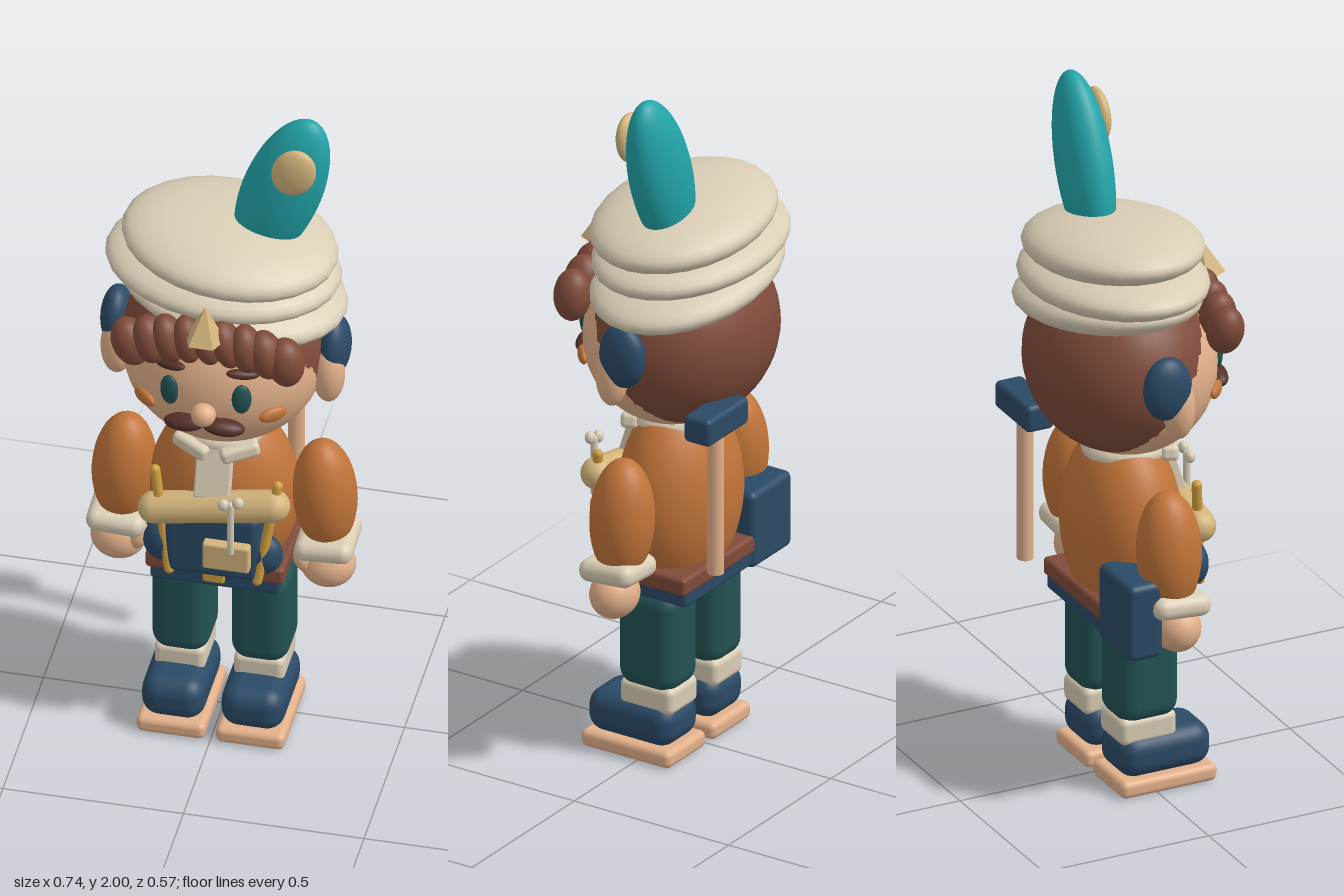
import * as THREE from 'three';
import { RoundedBoxGeometry } from 'three/addons/geometries/RoundedBoxGeometry.js';

const paint = (name, color) => {
  const m = new THREE.MeshStandardMaterial({ color });
  m.name = name;
  return m;
};

export function createModel() {
  const model = new THREE.Group();
  model.name = 'traveller';
  const navy = paint('navy', 0x2b4a66), brown = paint('hair brown', 0x7f4b3a);
  const dark = paint('dark brown', 0x55302a), cream = paint('cream', 0xd9cdb5);
  const orange = paint('coat orange', 0xc17439), skin = paint('skin', 0xe2b08a);
  const teal = paint('feather teal', 0x22a5aa), pine = paint('dark teal', 0x235253);
  const tan = paint('tan', 0xd3b47c), gold = paint('gold', 0xcf9f3f);

  const add = (name, geo, mat, pos, rot = [0, 0, 0]) => {
    const mesh = new THREE.Mesh(geo, mat);
    mesh.name = name;
    mesh.position.set(...pos);
    mesh.rotation.set(...rot);
    model.add(mesh);
    return mesh;
  };
  const ball = (name, mat, pos, r, rot, seg = 28) =>
    add(name, new THREE.SphereGeometry(1, seg, Math.round(seg * 0.7)).scale(...r), mat, pos, rot);
  const box = (name, mat, pos, size, radius, rot) =>
    add(name, new RoundedBoxGeometry(...size, 4, radius), mat, pos, rot);
  // Round bar between two points
  const rod = (name, mat, a, b, r) => {
    const from = new THREE.Vector3(...a), to = new THREE.Vector3(...b);
    const dir = to.clone().sub(from);
    const mesh = add(name, new THREE.CapsuleGeometry(r, Math.max(dir.length() - 2 * r, 0.001), 6, 14),
      mat, from.clone().add(to).multiplyScalar(0.5).toArray());
    mesh.quaternion.setFromUnitVectors(new THREE.Vector3(0, 1, 0), dir.normalize());
    return mesh;
  };

  for (const s of [-1, 1]) {
    // Legs and shoes
    box('sole', skin, [s * 0.11, 0.03, 0.035], [0.19, 0.05, 0.29], 0.018);
    box('shoe', navy, [s * 0.11, 0.112, 0.037], [0.175, 0.125, 0.275], 0.05);
    box('sock', cream, [s * 0.11, 0.19, -0.015], [0.14, 0.08, 0.17], 0.02);
    box('trouserLeg', pine, [s * 0.11, 0.36, -0.012], [0.16, 0.3, 0.185], 0.05);

    // Arms
    ball('sleeve', orange, [s * 0.278, 0.765, -0.008], [0.088, 0.175, 0.09], [0, 0, s * 0.06]);
    box('cuff', cream, [s * 0.288, 0.62, 0], [0.162, 0.064, 0.17], 0.03, [0.08, 0, s * 0.06]);
    ball('hand', skin, [s * 0.29, 0.543, 0.008], [0.077, 0.07, 0.066]);
    ball('thumb', skin, [s * 0.228, 0.567, 0.035], [0.027, 0.042, 0.03], [0, 0, s * 0.3]);

    // Ears and ear muffs
    ball('ear', skin, [s * 0.293, 1.195, 0.015], [0.045, 0.09, 0.045]);
    ball('earMuff', navy, [s * 0.302, 1.265, -0.025], [0.044, 0.092, 0.07]);

    // Face details
    ball('eye', pine, [s * 0.1, 1.235, 0.228], [0.027, 0.047, 0.016], [0, s * 0.3, 0]);
    ball('eyebrow', dark, [s * 0.1, 1.31, 0.214], [0.046, 0.014, 0.017], [0, s * 0.35, -s * 0.15]);
    ball('cheek', orange, [s * 0.178, 1.165, 0.186], [0.042, 0.022, 0.014], [0, s * 0.7, 0]);
    ball('moustache', dark, [s * 0.055, 1.147, 0.248], [0.058, 0.023, 0.03], [0, s * 0.15, -s * 0.12]);
    box('collarFlap', cream, [s * 0.065, 0.957, 0.1], [0.11, 0.045, 0.05], 0.015, [0, s * 0.4, s * 0.2]);
  }

  // Body
  ball('coat', orange, [0, 0.742, -0.012], [0.207, 0.285, 0.156], undefined, 36);
  box('hips', navy, [0, 0.52, -0.015], [0.36, 0.06, 0.265], 0.012);
  box('belt', brown, [0, 0.555, -0.015], [0.385, 0.052, 0.275], 0.012);
  box('buckle', gold, [0, 0.545, 0.124], [0.06, 0.058, 0.02], 0.006);
  add('collar', new THREE.TorusGeometry(0.09, 0.03, 12, 32), cream, [0, 0.965, 0], [Math.PI / 2, 0, 0]);
  box('shirtFront', cream, [0, 0.89, 0.125], [0.1, 0.15, 0.03], 0.006, [-0.3, 0, 0]);

  // Head and hair
  ball('face', skin, [0, 1.22, 0], [0.276, 0.256, 0.245], undefined, 40);
  ball('hair', brown, [0, 1.24, -0.025], [0.285, 0.265, 0.25], undefined, 40);
  ball('nose', skin, [0, 1.185, 0.254], [0.034, 0.034, 0.034]);
  for (let i = -4; i <= 4; i++) {
    const t = i / 4;
    const edge = Math.abs(t) ** 2;
    ball('curl', brown, [t * 0.215, 1.402 - 0.045 * edge, 0.205 - 0.01 * edge],
      [0.04 + 0.012 * edge, 0.074, 0.052], [0, 0, 0.22 - 0.12 * t + (i % 2) * 0.1], 20);
  }

  // Wrapped hat: three tilted layers
  const layers = [
    [[0.015, 1.415, -0.045], [0.318, 0.075, 0.243], -0.16],
    [[-0.01, 1.488, -0.04], [0.325, 0.075, 0.245], -0.07],
    [[0.01, 1.572, -0.03], [0.298, 0.08, 0.237], -0.11],
  ];
  for (const [pos, r, tilt] of layers) ball('hatLayer', cream, pos, r, [0.03, 0, tilt], 26);
  const jewel = new THREE.ConeGeometry(0.058, 0.105, 5).toNonIndexed();
  jewel.computeVertexNormals();
  add('hatJewel', jewel, tan, [0, 1.482, 0.235], [-0.12, Math.PI, 0]).rotation.order = 'XYZ';

  // Feather
  ball('feather', teal, [0.15, 1.752, -0.048], [0.108, 0.26, 0.071], [0, 0, -0.33], 36);
  ball('featherSpot', tan, [0.197, 1.867, 0.018], [0.06, 0.077, 0.027], [0, 0, -0.33]);

  // Chest pack with bedroll, straps, pocket and spoon
  box('chestPack', navy, [0.005, 0.675, 0.125], [0.265, 0.215, 0.11], 0.025);
  for (const s of [-1, 1]) {
    ball('packSidePouch', navy, [s * 0.14, 0.643, 0.135], [0.053, 0.062, 0.04]);
    rod('packStrap', gold, [s * 0.172 + 0.01, 0.895, 0.135], [s * 0.12 + 0.008, 0.56, 0.17], 0.014);
  }
  rod('bedroll', tan, [-0.205, 0.75, 0.145], [0.215, 0.826, 0.145], 0.046);
  box('packPocket', tan, [0.05, 0.662, 0.19], [0.13, 0.085, 0.035], 0.008);
  rod('spoonHandle', cream, [0.068, 0.69, 0.222], [0.068, 0.87, 0.222], 0.01);
  for (const s of [-1, 1]) ball('spoonTip', cream, [0.068 + s * 0.02, 0.865 + s * 0.006, 0.222], [0.016, 0.018, 0.014]);

  // Hip satchel
  box('satchel', navy, [-0.238, 0.593, -0.103], [0.195, 0.225, 0.105], 0.02);
  box('satchelClasp', gold, [-0.225, 0.642, -0.048], [0.09, 0.04, 0.015], 0.006);

  // Mallet on the back
  add('malletHandle', new THREE.CylinderGeometry(0.023, 0.023, 0.44, 18), skin, [0.15, 0.83, -0.226]);
  box('malletHead', navy, [0.15, 1.07, -0.228], [0.2, 0.08, 0.086], 0.015);

  return model;
}
